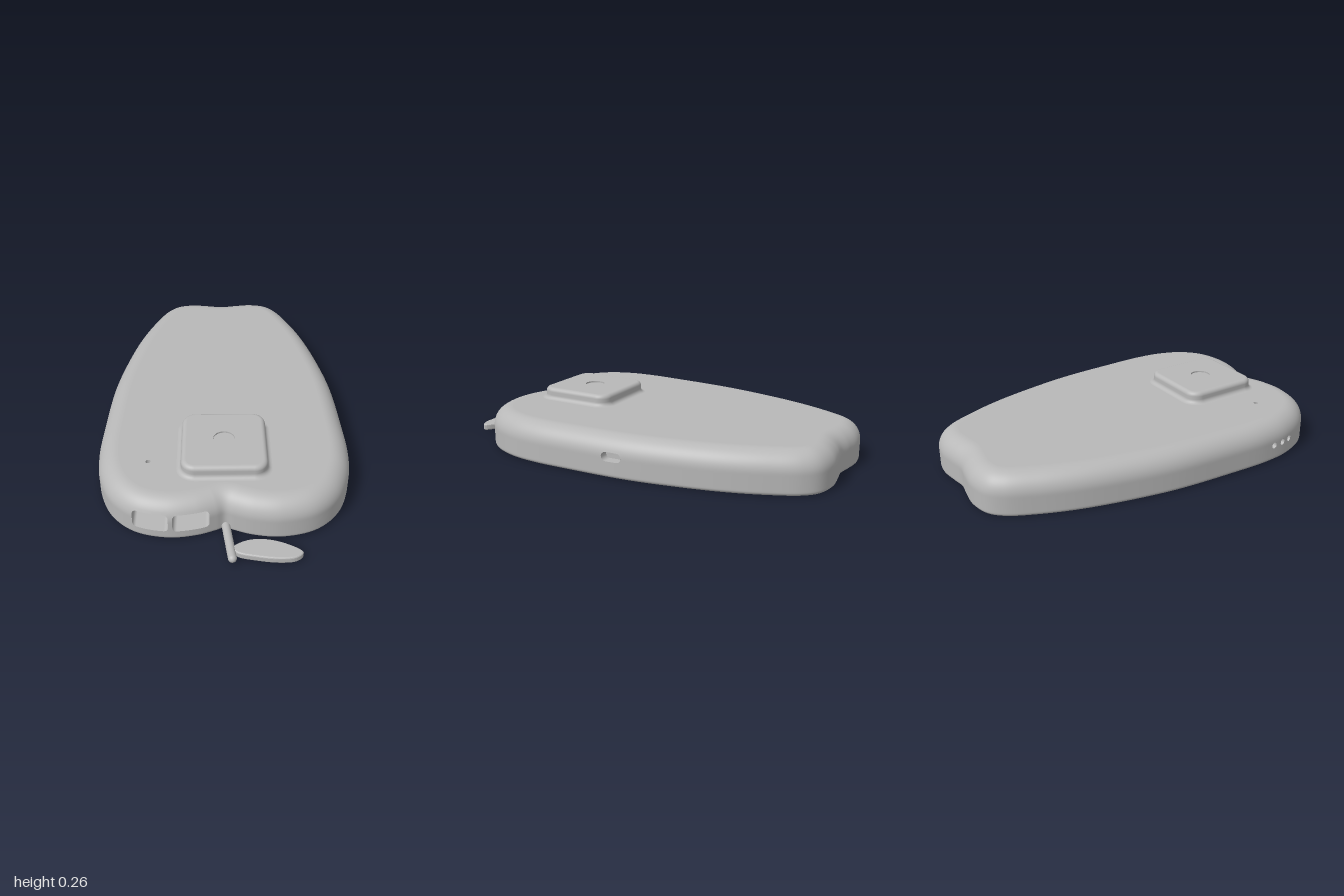
import * as THREE from 'three';

const grey = new THREE.MeshStandardMaterial({ color: 0xb8b8b8, side: THREE.DoubleSide });
grey.name = 'plain grey';

// Half outline of the body (x, z), from the rear notch round to the front notch
const HALF = [[0, -0.978], [0.08, -0.99], [0.18, -1], [0.285, -0.975], [0.35, -0.915], [0.42, -0.78],
  [0.487, -0.6], [0.545, -0.37], [0.587, -0.13], [0.608, 0.185], [0.613, 0.4], [0.593, 0.555],
  [0.53, 0.7], [0.418, 0.8], [0.26, 0.84], [0.127, 0.826], [0.04, 0.796], [0, 0.78]];
const HEIGHT = 0.203, TOP_R = 0.1, BOTTOM_R = 0.018;

function mesh(name, geometry) {
  const m = new THREE.Mesh(geometry, grey);
  m.name = name;
  return m;
}

// Skin between closed loops that share a point count; skip(i, j) leaves a cell open
function loft(loops, skip = () => false) {
  const n = loops[0].length, index = [];
  for (let j = 0; j < loops.length - 1; j++) {
    for (let i = 0; i < n; i++) {
      if (skip(i, j)) continue;
      const a = j * n + i, b = j * n + (i + 1) % n, c = a + n, d = b + n;
      index.push(a, c, b, b, c, d);
    }
  }
  const g = new THREE.BufferGeometry().setFromPoints(loops.flat());
  g.setIndex(index);
  g.computeVertexNormals();
  return g;
}

// Rounded rectangle as 2D points
function roundRect(cx, cy, hw, hh, r, n = 8) {
  const pts = [];
  [[1, 1], [-1, 1], [-1, -1], [1, -1]].forEach(([sx, sy], k) => {
    for (let i = 0; i <= n; i++) {
      const a = (k + i / n) * Math.PI / 2;
      pts.push(new THREE.Vector2(cx + sx * (hw - r) + r * Math.cos(a), cy + sy * (hh - r) + r * Math.sin(a)));
    }
  });
  return pts;
}
const circle = (cx, cy, r) => roundRect(cx, cy, r, r, r);
const atY = (pts, y) => pts.map(p => new THREE.Vector3(p.x, y, p.y));

// Flat horizontal face with holes, facing up or down
function flat(name, pts, y, holes = [], up = true) {
  const f = up ? -1 : 1;
  const conv = list => list.map(p => new THREE.Vector2(p.x, f * p.y));
  const shape = new THREE.Shape(conv(pts));
  holes.forEach(h => shape.holes.push(new THREE.Path(conv(h))));
  return mesh(name, new THREE.ShapeGeometry(shape).rotateX(f * Math.PI / 2).translate(0, y, 0));
}

// Walls and floor of a recess
function pocket(name, rim, push) {
  const floor = rim.map(p => p.clone().add(push));
  const mid = floor.reduce((s, p) => s.add(p), new THREE.Vector3()).divideScalar(floor.length);
  const g = new THREE.Group();
  g.name = name;
  g.add(mesh(name + 'Wall', loft([rim, floor])), mesh(name + 'Floor', loft([floor, floor.map(() => mid)])));
  return g;
}

export function createModel() {
  const model = new THREE.Group();
  model.name = 'fruitShapedDevice';

  // Body surface as a function of outline position u and height y
  const mirrored = HALF.slice(1, -1).reverse().map(([x, z]) => [-x, z]);
  const curve = new THREE.CatmullRomCurve3(
    [...HALF, ...mirrored].map(([x, z]) => new THREE.Vector3(x, 0, z)), true, 'centripetal');
  curve.arcLengthDivisions = 1500;
  const length = curve.getLength();
  const inset = y => {
    const r = y < BOTTOM_R ? BOTTOM_R : TOP_R;
    const d = y < BOTTOM_R ? BOTTOM_R - y : Math.max(0, y - (HEIGHT - TOP_R));
    return r - Math.sqrt(Math.max(0, r * r - d * d));
  };
  const outward = u => {
    const t = curve.getTangentAt(u);
    return new THREE.Vector3(t.z, 0, -t.x);
  };
  const surface = (u, y) => {
    u = (u + 1) % 1;
    return curve.getPointAt(u).addScaledVector(outward(u), -inset(y)).setY(y);
  };
  const samples = curve.getSpacedPoints(3000);
  const findU = (x, z) => {
    const target = new THREE.Vector3(x, 0, z);
    let best = 0;
    samples.forEach((p, i) => { if (p.distanceTo(target) < samples[best].distanceTo(target)) best = i; });
    return best / 3000;
  };

  // Openings in the side wall
  const openings = [];
  const opening = (name, u, y, hw, hh, r, depth, dir) => openings.push({ name, u, y, hw, hh, r, depth, dir });
  for (const [name, x0, x1, z0, z1] of [['outerPort', -0.424, -0.257, 0.798, 0.84], ['innerPort', -0.238, -0.07, 0.84, 0.809]]) {
    const a = findU(x0, z0), b = findU(x1, z1);
    opening(name, (a + b) / 2, 0.096, Math.abs(a - b) * length / 2, 0.046, 0.02, 0.12, new THREE.Vector3(0, 0, -1));
  }
  const slotU = findU(0.595, -0.057);
  opening('sideSlot', slotU, 0.105, 0.052, 0.023, 0.023, 0.05, outward(slotU).negate());
  [[-0.61, 0.45], [-0.602, 0.51], [-0.589, 0.565]].forEach(([x, z], i) => {
    const u = findU(x, z);
    opening('sideHole' + (i + 1), u, 0.085, 0.015, 0.017, 0.015, 0.04, outward(u).negate());
  });
  const distance = (o, u, y) => {
    const qx = Math.abs((u - o.u) * length) - o.hw + o.r, qy = Math.abs(y - o.y) - o.hh + o.r;
    return Math.hypot(Math.max(qx, 0), Math.max(qy, 0)) + Math.min(Math.max(qx, qy), 0) - o.r;
  };

  // Wall grid, with vertices near an opening pulled onto its rim
  const N = 700, rows = [];
  for (let i = 0; i < 6; i++) rows.push(BOTTOM_R * (1 - Math.cos(i / 6 * Math.PI / 2)));
  for (let i = 0; i < 12; i++) rows.push(BOTTOM_R + (HEIGHT - TOP_R - BOTTOM_R) * i / 12);
  for (let i = 0; i <= 18; i++) rows.push(HEIGHT - TOP_R + TOP_R * Math.sin(i / 18 * Math.PI / 2));
  const base = [], normals = [];
  for (let i = 0; i < N; i++) {
    base.push(curve.getPointAt(i / N));
    normals.push(outward(i / N));
  }
  const loops = rows.map(y => base.map((p, i) => {
    const u = i / N, e = 1e-4;
    for (const o of openings) {
      const d = distance(o, u, y);
      if (Math.abs(d) > 0.0055) continue;
      const gx = (distance(o, u + e / length, y) - d) / e, gy = (distance(o, u, y + e) - d) / e;
      return surface(u - d * gx / length, y - d * gy);
    }
    return p.clone().addScaledVector(normals[i], -inset(y)).setY(y);
  }));
  const open = (i, j) => openings.some(o => distance(o, (i + 0.5) / N, (rows[j] + rows[j + 1]) / 2) < 0);
  model.add(mesh('bodyWall', loft(loops, open)));
  for (const o of openings) {
    const rim = roundRect(0, 0, o.hw, o.hh, o.r).map(p => surface(o.u + p.x / length, o.y + p.y));
    model.add(pocket(o.name, rim, o.dir.clone().multiplyScalar(o.depth)));
  }

  // Top face with a pinhole
  const flatten = loop => loop.map(p => new THREE.Vector2(p.x, p.z));
  const pin = circle(-0.36, 0.535, 0.012);
  model.add(flat('topFace', flatten(loops[loops.length - 1]), HEIGHT, [pin]));
  model.add(pocket('pinhole', atY(pin, HEIGHT), new THREE.Vector3(0, -0.02, 0)));

  // Underside with two inset panels and a screw hole
  const panels = [['largePanel', 0.24, 0.44, 0.43], ['smallPanel', -0.538, 0.345, 0.207]];
  const screw = circle(0, -0.26, 0.016);
  const cuts = panels.map(([, z, hw, hd]) => roundRect(0, z, hw, hd, 0.006, 2));
  model.add(flat('underside', flatten(loops[0]), 0, [...cuts, screw], false));
  model.add(pocket('screwHole', atY(screw, 0), new THREE.Vector3(0, 0.03, 0)));
  panels.forEach(([name, z, hw, hd], i) => {
    model.add(pocket(name + 'Groove', atY(cuts[i], 0), new THREE.Vector3(0, 0.008, 0)));
    const plate = mesh(name, new THREE.BoxGeometry(hw * 2 - 0.008, 0.008, hd * 2 - 0.008));
    plate.position.set(0, 0.004, z);
    model.add(plate);
  });

  // Raised square block with a flared foot and a dished button
  const profile = [];
  for (let i = 0; i <= 6; i++) {
    const a = i / 6 * Math.PI / 2;
    profile.push([-0.022 * (1 - Math.sin(a)), HEIGHT + 0.022 * (1 - Math.cos(a))]);
  }
  for (let i = 0; i <= 8; i++) {
    const a = i / 8 * Math.PI / 2;
    profile.push([0.022 * (1 - Math.cos(a)), 0.241 + 0.022 * Math.sin(a)]);
  }
  const blockLoop = d => roundRect(0, 0.445, 0.203 - d, 0.207 - d, 0.065 - d);
  model.add(mesh('blockWall', loft(profile.map(([d, y]) => atY(blockLoop(d), y)))));
  const rim = circle(0, 0.44, 0.052);
  model.add(flat('blockTop', blockLoop(0.022), 0.263, [rim]));
  model.add(pocket('button', atY(rim, 0.263), new THREE.Vector3(0, -0.008, 0)));

  // Stem
  const from = new THREE.Vector3(0, 0.026, 0.75), to = new THREE.Vector3(0.03, 0.026, 0.98);
  const dir = to.clone().sub(from);
  const stem = mesh('stem', new THREE.CapsuleGeometry(0.02, dir.length(), 8, 24));
  stem.position.copy(from).add(to).multiplyScalar(0.5);
  stem.quaternion.setFromUnitVectors(new THREE.Vector3(0, 1, 0), dir.normalize());
  model.add(stem);

  // Leaf
  const leafPts = [[0.03, 0.925], [0.085, 0.885], [0.165, 0.873], [0.27, 0.9], [0.347, 0.955],
    [0.315, 0.985], [0.245, 0.993], [0.14, 0.98], [0.05, 0.955]];
  const leafCurve = new THREE.CatmullRomCurve3(leafPts.map(([x, z]) => new THREE.Vector3(x, -z, 0)), true);
  const leafShape = new THREE.Shape(leafCurve.getSpacedPoints(60).slice(0, -1).map(p => new THREE.Vector2(p.x, p.y)));
  const leaf = new THREE.ExtrudeGeometry(leafShape, {
    depth: 0.018, bevelEnabled: true, bevelThickness: 0.008, bevelSize: 0.008, bevelOffset: -0.008, bevelSegments: 4 });
  model.add(mesh('leaf', leaf.rotateX(-Math.PI / 2).translate(0, 0.011, 0)));
  return model;
}
